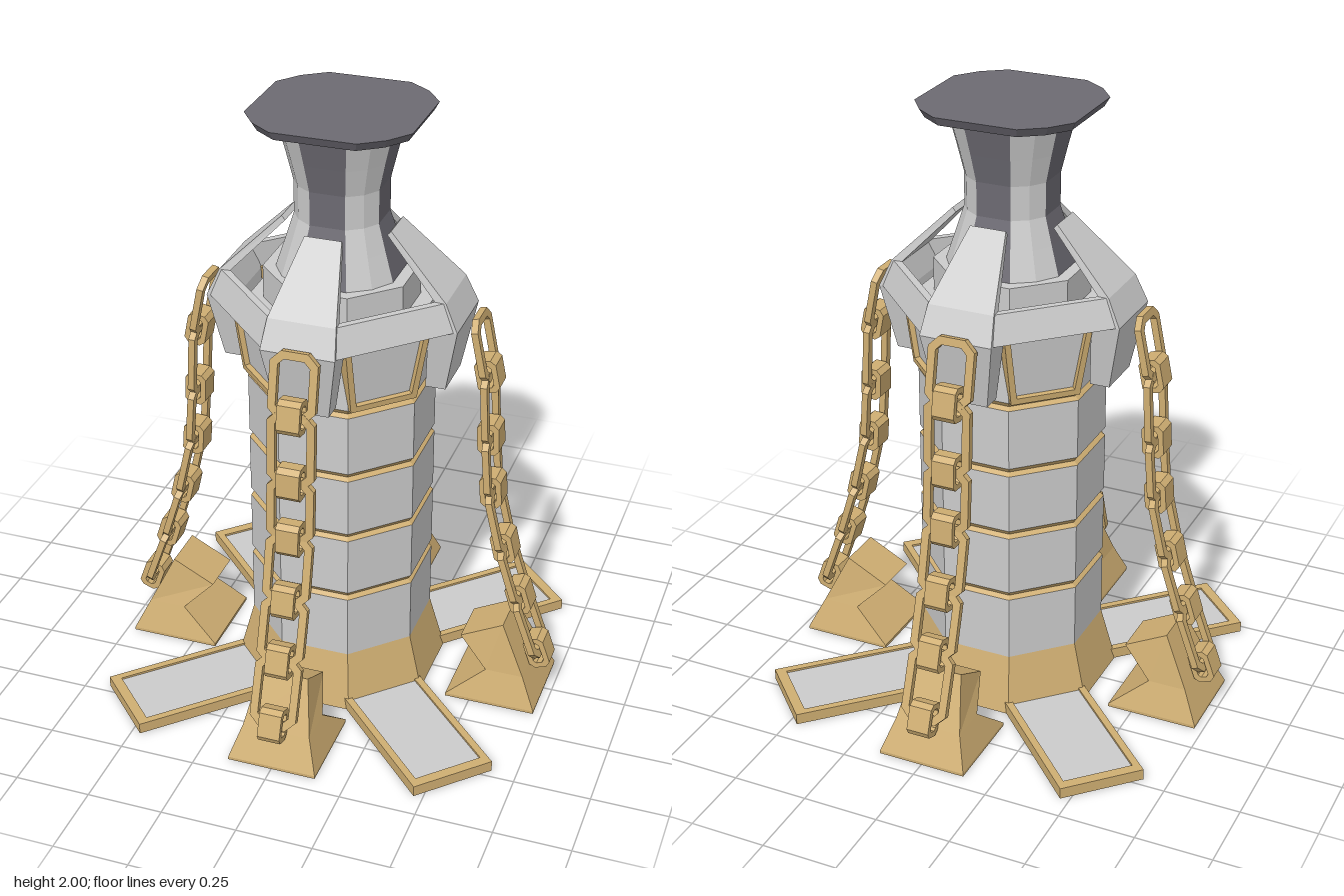
import * as THREE from 'three';

const material = (color) => new THREE.MeshStandardMaterial({ color, flatShading: true });
const grey = material(0xcccccc);
const brass = material(0xcfae72);
const dark = material(0x6c6a72);

function add(parent, name, geometry, mat, y = 0) {
  const mesh = new THREE.Mesh(geometry, mat);
  mesh.name = name;
  mesh.position.y = y;
  parent.add(mesh);
  return mesh;
}

// Joins closed rings of points, counter-clockwise seen from above; keep(i) picks which sides to build
function loft(rings, keep = () => true, caps = true) {
  const pos = [];
  const tri = (...pts) => pts.forEach((p) => pos.push(...p));
  const n = rings[0].length;
  for (let r = 0; r < rings.length - 1; r++) {
    const a = rings[r], b = rings[r + 1];
    for (let i = 0; i < n; i++) {
      if (!keep(i)) continue;
      const j = (i + 1) % n;
      tri(a[i], a[j], b[j]);
      tri(a[i], b[j], b[i]);
    }
  }
  if (caps) {
    const low = rings[0], top = rings[rings.length - 1];
    for (let i = 1; i < n - 1; i++) {
      tri(low[0], low[i + 1], low[i]);
      tri(top[0], top[i], top[i + 1]);
    }
  }
  const g = new THREE.BufferGeometry();
  g.setAttribute('position', new THREE.Float32BufferAttribute(pos, 3));
  g.computeVertexNormals();
  return g;
}

// Rectangular sections along a bent arm: [outer r, outer y, inner r, inner y, half width]
const bentArm = (stations) => loft(stations.map(([ro, yo, ri, yi, w]) =>
  [[ro, yo, w], [ro, yo, -w], [ri, yi, -w], [ri, yi, w]]));

// Octagonal drum with flat sides toward the axes, sized by its flat-to-centre distance
function octagon(bottom, top, y0, y1) {
  const k = 1 / Math.cos(Math.PI / 8);
  return new THREE.CylinderGeometry(top * k, bottom * k, y1 - y0, 8)
    .rotateY(Math.PI / 8).translate(0, (y0 + y1) / 2, 0);
}

// Twelve-sided ring: four wide flats and a corner on each diagonal
function flatRing(radius, y, spread) {
  const pts = [];
  for (let q = 0; q < 4; q++) for (const d of [-spread, 0, spread]) {
    const a = THREE.MathUtils.degToRad(45 + q * 90 + d);
    pts.push([radius * Math.cos(a), y, -radius * Math.sin(a)]);
  }
  return pts;
}

const polygon = (pts, Type = THREE.Shape) => new Type(pts.map(([x, y]) => new THREE.Vector2(x, y)));

function frame(outer, inner, depth) {
  const shape = polygon(outer);
  shape.holes.push(polygon(inner, THREE.Path));
  return new THREE.ExtrudeGeometry(shape, { depth, bevelEnabled: false });
}

// Closed chain link with cut corners
function link(w, h, bar, depth) {
  const outline = (x, y, c) => [[x - c, -y], [x, c - y], [x, y - c], [x - c, y],
    [c - x, y], [-x, y - c], [-x, c - y], [c - x, -y]];
  return frame(outline(w / 2, h / 2, w * 0.22), outline(w / 2 - bar, h / 2 - bar, w * 0.12), depth)
    .translate(0, 0, -depth / 2);
}

function makeChain() {
  const chain = new THREE.Group();
  chain.name = 'chain';
  const knots = [[0.452, 1.365], [0.49, 1.18], [0.502, 0.955], [0.517, 0.76],
    [0.565, 0.555], [0.625, 0.365], [0.697, 0.165]];
  for (let i = 1; i < knots.length; i++) {
    const [r0, y0] = knots[i - 1], [r1, y1] = knots[i];
    const length = Math.hypot(r1 - r0, y1 - y0) + 0.03;
    const tilt = -Math.atan2(r0 - r1, y0 - y1);
    const long = add(chain, 'longLink', link(0.155, length, 0.026, 0.022).rotateY(Math.PI / 2), brass);
    long.position.set((r0 + r1) / 2, (y0 + y1) / 2, 0);
    long.rotation.z = tilt;
    const short = add(chain, 'shortLink', link(0.072, 0.11, 0.018, 0.075), brass);
    short.position.set(r1, y1, 0);
    short.rotation.z = tilt;
  }
  return chain;
}

// Cross arm of the base with an inset tile
function makeBaseArm() {
  const arm = new THREE.Group();
  arm.name = 'baseArm';
  const rect = (x0, x1, w) => [[x0, -w], [x1, -w], [x1, w], [x0, w]];
  add(arm, 'armSlab', new THREE.BoxGeometry(0.806, 0.02, 0.282).translate(0.403, 0.01, 0), brass);
  add(arm, 'armRim', frame(rect(0.2, 0.806, 0.141), rect(0.25, 0.772, 0.117), 0.017).rotateX(-Math.PI / 2), brass, 0.02);
  add(arm, 'armTile', new THREE.BoxGeometry(0.53, 0.01, 0.24).translate(0.51, 0.025, 0), grey);
  return arm;
}

// Leaning window and the roof slat above it
function makeWindow() {
  const bay = new THREE.Group();
  bay.name = 'windowBay';
  const trap = (b, t, y0, y1) => [[-b, y0], [b, y0], [t, y1], [-t, y1]];
  const lean = new THREE.Group();
  lean.name = 'window';
  lean.position.set(0, 1.12, 0.297);
  lean.rotation.x = 0.1;
  add(lean, 'windowFrame', frame(trap(0.114, 0.146, 0, 0.245), trap(0.096, 0.124, 0.02, 0.222), 0.045).translate(0, 0, -0.045), brass);
  add(lean, 'windowPanel', new THREE.ExtrudeGeometry(polygon(trap(0.1, 0.128, 0.01, 0.235)),
    { depth: 0.06, bevelEnabled: false }).translate(0, 0, -0.078), grey);
  bay.add(lean);
  const slat = loft([
    [[-0.2, 1.36, 0.368], [0.2, 1.36, 0.368], [0.2, 1.36, 0.315], [-0.2, 1.36, 0.315]],
    [[-0.18, 1.45, 0.335], [0.18, 1.45, 0.335], [0.18, 1.45, 0.312], [-0.18, 1.45, 0.312]]]);
  add(bay, 'roofSlat', slat, grey);
  return bay;
}

export function createModel() {
  const model = new THREE.Group();
  model.name = 'chainedTower';

  // Body drums separated by grooved brass bands
  add(model, 'skirt', octagon(0.328, 0.28, 0, 0.19), brass);
  const bands = [0.422, 0.65, 0.875, 1.105];
  let floor = 0.19;
  for (const y of bands) {
    add(model, 'bodyDrum', octagon(0.28, 0.28, floor, y - 0.014), grey);
    add(model, 'bandLower', octagon(0.28, 0.267, y - 0.014, y - 0.003), brass);
    add(model, 'bandUpper', octagon(0.267, 0.28, y - 0.003, y + 0.014), brass);
    floor = y + 0.014;
  }
  add(model, 'upperDrum', octagon(0.28, 0.28, floor, 1.37), grey);
  add(model, 'neckCollar', octagon(0.23, 0.23, 1.37, 1.48), grey);

  // Waisted neck: dark flats, light corners
  const neck = [[0.208, 1.48], [0.178, 1.57], [0.149, 1.66], [0.15, 1.77], [0.172, 1.86], [0.2, 1.965]]
    .map(([r, y]) => flatRing(r, y, 22.5));
  add(model, 'neckCorners', loft(neck, (i) => i % 3 !== 2, false), grey);
  add(model, 'neckFlats', loft(neck, (i) => i % 3 === 2, false), dark);
  add(model, 'cap', loft([flatRing(0.2, 1.962, 18), flatRing(0.28, 1.972, 18), flatRing(0.297, 2, 18)]), dark);

  for (let i = 0; i < 4; i++) {
    const side = new THREE.Group();
    side.name = 'side' + (i + 1);
    side.rotation.y = i * Math.PI / 2;
    model.add(side);

    // Bent claw holding the crown
    add(side, 'claw', bentArm([[0.37, 1.14, 0.305, 1.14, 0.085], [0.413, 1.36, 0.32, 1.36, 0.12],
      [0.372, 1.45, 0.345, 1.44, 0.11], [0.178, 1.642, 0.166, 1.628, 0.06]]), grey);

    // Anchor foot and chain, set slightly closer on the front and back
    const anchor = new THREE.Group();
    anchor.name = 'anchor';
    anchor.position.x = i % 2 ? -0.027 : 0;
    add(anchor, 'foot', bentArm([[0.722, 0, 0.418, 0, 0.148], [0.722, 0.01, 0.418, 0.01, 0.148],
      [0.672, 0.115, 0.545, 0.115, 0.113], [0.59, 0.284, 0.447, 0.21, 0.08]]), brass);
    anchor.add(makeChain());
    side.add(anchor);

    // Diagonal parts
    const arm = makeBaseArm();
    arm.rotation.y = Math.PI / 4;
    const bay = makeWindow();
    bay.rotation.y = Math.PI / 4;
    side.add(arm, bay);
  }
  return model;
}
